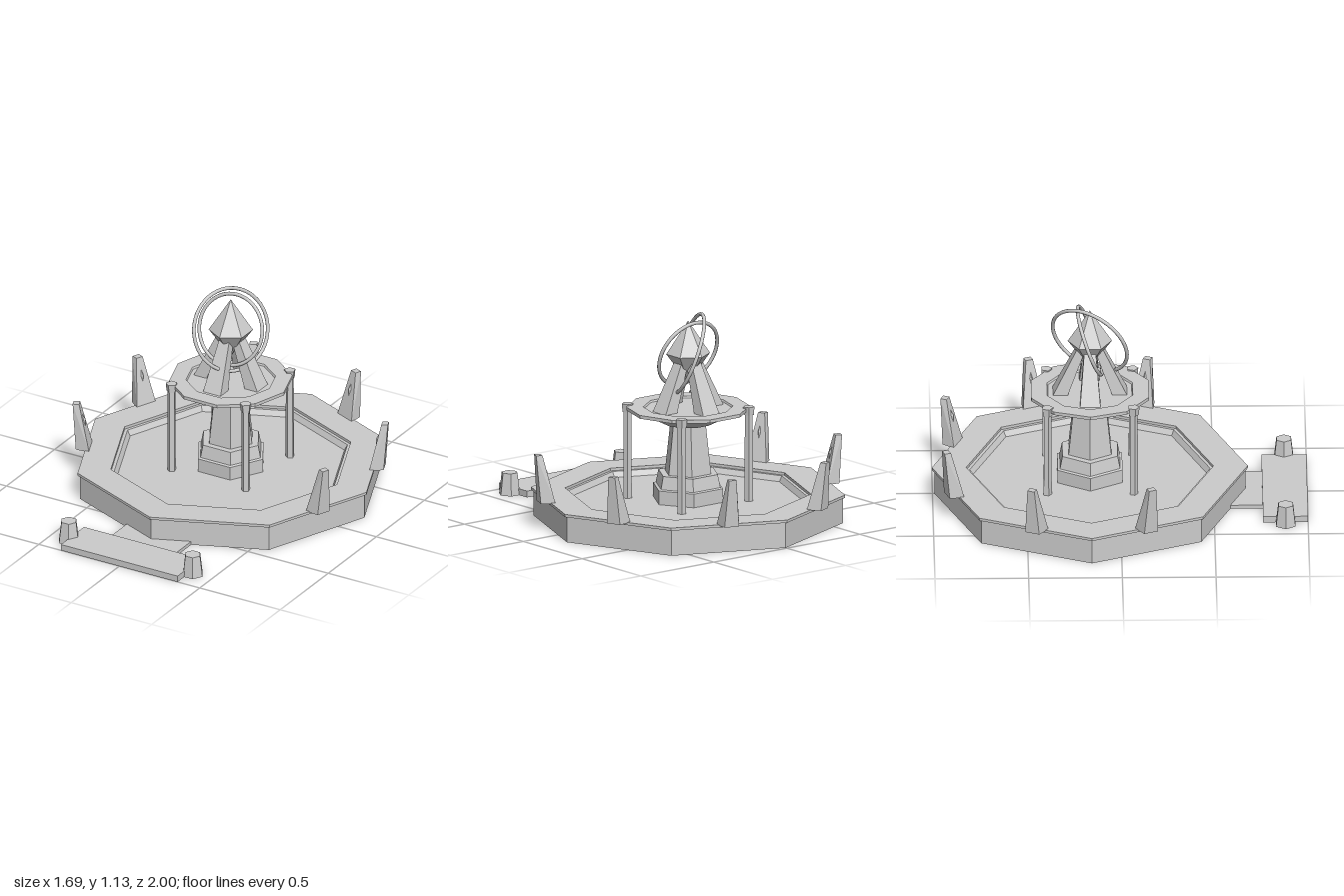
import * as THREE from 'three';
import { ConvexGeometry } from 'three/addons/geometries/ConvexGeometry.js';

const CENTRE_Z = -0.16;
const flat = new THREE.MeshStandardMaterial({ color: 0xcccccc, flatShading: true });
const smooth = new THREE.MeshStandardMaterial({ color: 0xcccccc });

function add(parent, name, geometry, x = 0, y = 0, z = 0, material = flat) {
  const mesh = new THREE.Mesh(geometry, material);
  mesh.name = name;
  mesh.position.set(x, y, z);
  parent.add(mesh);
  return mesh;
}

// Faceted solid of revolution from [radius, height] pairs, listed bottom to top
function faceted(profile, sides, turn = 0) {
  const points = profile.map(([r, y]) => new THREE.Vector2(r, y));
  return new THREE.LatheGeometry(points, sides, turn);
}

// Solid between two trapezoids; each level is [y, inner z, inner width, outer z, outer width]
function wedge(bottom, top) {
  const points = [];
  for (const [y, z0, w0, z1, w1] of [bottom, top]) {
    for (const s of [-0.5, 0.5]) {
      points.push(new THREE.Vector3(s * w0, y, z0), new THREE.Vector3(s * w1, y, z1));
    }
  }
  return new ConvexGeometry(points);
}

export function createModel() {
  const model = new THREE.Group();
  model.name = 'fountain';
  const fountain = new THREE.Group();
  fountain.name = 'fountainBody';
  fountain.position.z = CENTRE_Z;
  model.add(fountain);

  // Octagonal basin with overhanging rim and stepped inner wall
  add(fountain, 'basin', faceted([
    [0, 0], [0.83, 0], [0.83, 0.14], [0.843, 0.14], [0.843, 0.155],
    [0.66, 0.155], [0.66, 0.14], [0.642, 0.14], [0.625, 0.11], [0, 0.11],
  ], 8));

  // Hexagonal stepped pedestal
  add(fountain, 'pedestal', faceted([
    [0.2, 0.1], [0.2, 0.185], [0.185, 0.19], [0.17, 0.26], [0.132, 0.26], [0.1, 0.54],
  ], 6, Math.PI / 2));

  // Ten-sided upper bowl with a shallow recess
  add(fountain, 'upperBowl', faceted([
    [0, 0.53], [0.13, 0.53], [0.27, 0.602], [0.33, 0.602], [0.33, 0.62],
    [0.24, 0.62], [0.235, 0.61], [0, 0.61],
  ], 10, Math.PI / 2));

  // Slender columns carrying the bowl
  for (const x of [-0.23, 0.23]) {
    for (const z of [-0.23, 0.23]) {
      add(fountain, 'column', new THREE.CylinderGeometry(0.022, 0.024, 0.5, 5), x, 0.35, z);
      add(fountain, 'columnCap', new THREE.CylinderGeometry(0.032, 0.028, 0.045, 5), x, 0.605, z);
    }
  }

  // Four leaning legs holding the crystal
  const legGeometry = wedge([0.605, 0.12, 0.11, 0.2, 0.11], [0.88, 0.02, 0.06, 0.065, 0.06]);
  for (let i = 0; i < 4; i++) {
    add(fountain, 'crystalLeg', legGeometry).rotation.y = i * Math.PI / 2;
  }

  // Six-sided crystal
  add(fountain, 'crystal', faceted([[0, 0.75], [0.118, 0.91], [0, 1.09]], 6));

  // Two tilted rings around the crystal
  const innerRing = add(fountain, 'innerRing',
    new THREE.TorusGeometry(0.192, 0.01, 8, 48), 0, 0.91, 0, smooth);
  innerRing.rotation.x = -0.35;
  const outerRing = add(fountain, 'outerRing',
    new THREE.TorusGeometry(0.222, 0.01, 8, 48), 0, 0.91, 0, smooth);
  outerRing.quaternion.setFromUnitVectors(
    new THREE.Vector3(0, 0, 1), new THREE.Vector3(0.81, 0.36, 0.46).normalize());

  // Rim spikes at the middle of every side except the two at the front
  const spikeGeometry = wedge([0.15, 0.755, 0.125, 0.83, 0.08], [0.41, 0.815, 0.04, 0.85, 0.04]);
  for (let i = 1; i < 7; i++) {
    const spike = new THREE.Group();
    spike.name = 'rimSpike';
    spike.rotation.y = (i + 0.5) * Math.PI / 4;
    add(spike, 'spikeBody', spikeGeometry);
    const inlay = add(spike, 'spikeInlay', new THREE.OctahedronGeometry(0.045), 0, 0.31, 0.795);
    inlay.scale.set(0.25, 1, 0.3);
    inlay.rotation.x = 0.23;
    fountain.add(spike);
  }

  // Entrance path, platform and hexagonal posts
  add(model, 'path', new THREE.BoxGeometry(0.4, 0.02, 0.3), 0, 0.01, 0.63);
  add(model, 'platform', new THREE.BoxGeometry(0.725, 0.035, 0.24), 0, 0.0175, 0.88);
  for (const x of [-0.385, 0.385]) {
    const post = add(model, 'entrancePost',
      new THREE.CylinderGeometry(0.045, 0.06, 0.12, 6), x, 0.06, 0.88);
    post.rotation.y = Math.PI / 2;
  }

  return model;
}
